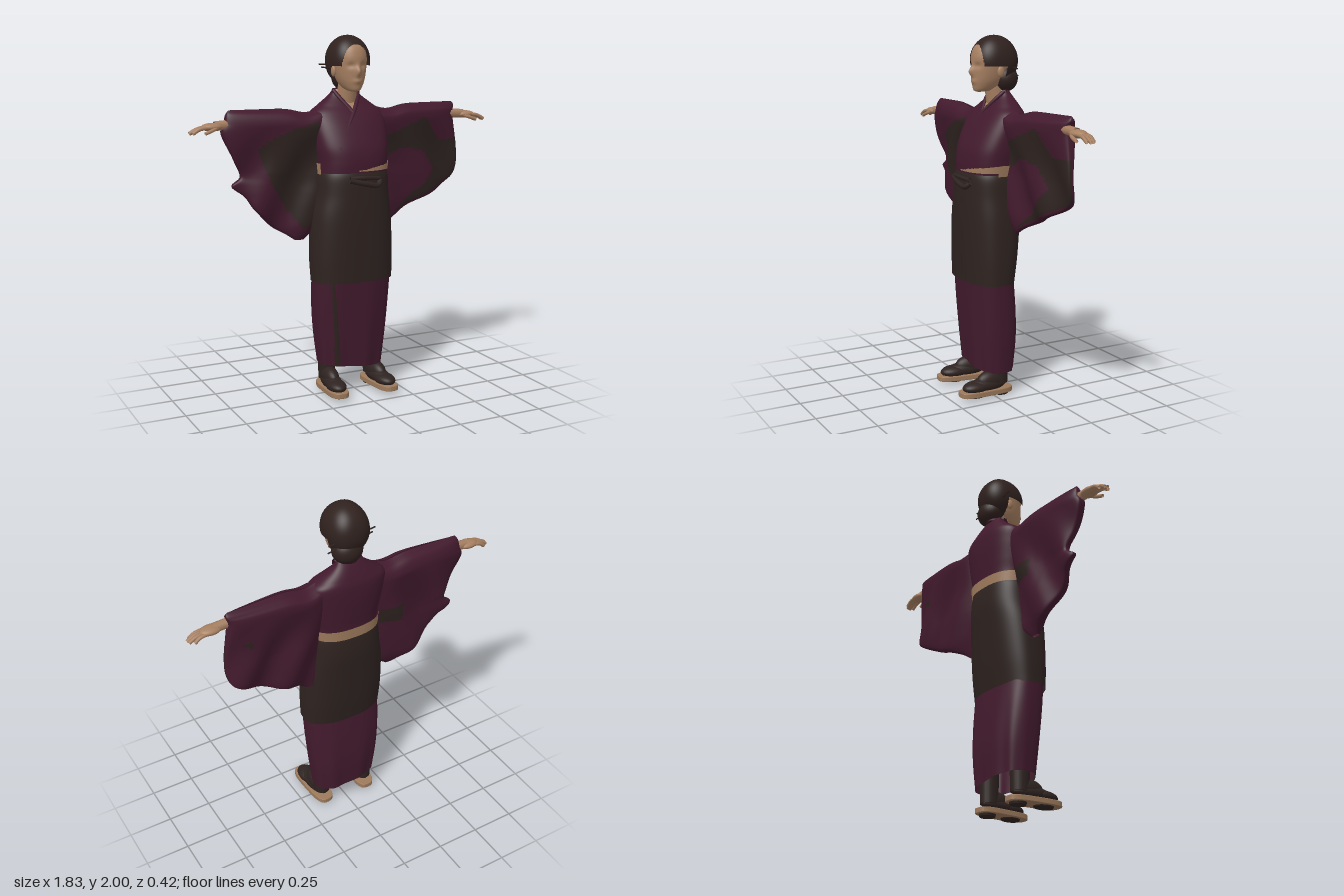
import * as THREE from 'three';

const mat = (name, color) => Object.assign(new THREE.MeshStandardMaterial({ color, side: THREE.DoubleSide }), { name });

// Closed ring surface: fn(a, v) gives a point; pick(x, y, z) gives the material index, or -1 for a hole
function ringSurface(name, fn, nu, nv, mats, pick = () => 0) {
  const pos = [], faces = mats.map(() => []);
  for (let j = 0; j <= nv; j++)
    for (let i = 0; i < nu; i++) pos.push(...fn((i / nu) * Math.PI * 2, j / nv));
  for (let j = 0; j < nv; j++)
    for (let i = 0; i < nu; i++) {
      const a = j * nu + i, b = j * nu + (i + 1) % nu, c = b + nu, d = a + nu;
      const mid = [0, 1, 2].map(k => (pos[a * 3 + k] + pos[b * 3 + k] + pos[c * 3 + k] + pos[d * 3 + k]) / 4);
      const m = pick(...mid);
      if (m >= 0) faces[m].push(a, b, c, a, c, d);
    }
  const geo = new THREE.BufferGeometry();
  geo.setAttribute('position', new THREE.Float32BufferAttribute(pos, 3));
  geo.setIndex(faces.flat());
  let start = 0;
  faces.forEach((f, m) => { geo.addGroup(start, f.length, m); start += f.length; });
  geo.computeVertexNormals();
  const mesh = new THREE.Mesh(geo, mats);
  mesh.name = name;
  return mesh;
}

// Smooth interpolation through rows of numbers
function rowCurve(rows) {
  const n = rows[0].length;
  const c = new THREE.CubicInterpolant(rows.map((_, i) => i), rows.flat(), n, new Float32Array(n));
  return v => Array.from(c.evaluate(v * (rows.length - 1)));
}
const power = (t, p) => Math.sign(t) * Math.abs(t) ** p;
const bump = (t, width) => Math.exp(-((t / width) ** 2));

// Rows are [y, xMin, xMax, zBack, zFront]
function loft(name, rows, mats, pick, { p = 0.8, nu = 64, nv = 40, warp = q => q } = {}) {
  const at = rowCurve(rows);
  return ringSurface(name, (a, v) => {
    const [y, x0, x1, z0, z1] = at(v);
    return warp([(x0 + x1) / 2 + (x1 - x0) / 2 * power(Math.sin(a), p), y,
      (z0 + z1) / 2 + (z1 - z0) / 2 * power(Math.cos(a), p)], a);
  }, nu, nv, mats, pick);
}

function inPolygon(x, y, poly) {
  let inside = false;
  poly.forEach(([ax, ay], i) => {
    const [bx, by] = poly[(i + 1) % poly.length];
    if ((ay > y) !== (by > y) && x < (bx - ax) * (y - ay) / (by - ay) + ax) inside = !inside;
  });
  return inside;
}

// Wide hanging sleeve: rows are [y, inner x, outer x, half thickness]; patches of dark lining in front and behind
function sleeve(name, s, z, slope, mats, rows, lining, backPatch) {
  const at = rowCurve(rows);
  // Middle sheet, with soft folds below the arm
  const zMid = (x, y) => z + slope * (Math.abs(x) - 0.2)
    + 0.018 * Math.sin(Math.abs(x) * 20 + y * 9) * Math.min(1, Math.max(0, (1.52 - y) * 4));
  return ringSurface(name, (a, v) => {
    const [y, xi, xo, t] = at(v);
    const x = s * (xi + xo) / 2 + (xo - xi) / 2 * power(Math.sin(a), 0.7);
    const taper = 1.25 - 1.1 * (Math.abs(x) - 0.25);
    const dip = 0.022 * bump(Math.abs(x) - 0.255, 0.08) * Math.max(0, (y - 1.4) / 0.2);
    return [x, y - dip, zMid(x, y) + t * taper * power(Math.cos(a), 0.5)];
  }, 140, 90, mats, (x, y, zz) => inPolygon(Math.abs(x), y, zz > zMid(x, y) ? lining : backPatch) ? 1 : 0);
}

export function createModel() {
  const model = new THREE.Group();
  const plum = mat('plumCloth', 0x421a2d), dark = mat('darkCloth', 0x2e2320), skin = mat('skin', 0xa67f61);
  const hair = mat('hair', 0x2f211e), straw = mat('straw', 0x9c795b);
  const add = (name, geo, material, position = [0, 0, 0], scale = [1, 1, 1], parent = model) => {
    const m = new THREE.Mesh(geo, material);
    m.name = name; m.position.set(...position); m.scale.set(...scale); parent.add(m);
    return m;
  };
  const ball = new THREE.SphereGeometry(1, 28, 20);
  const tube = (name, pts, r, material, parent = model) => add(name, new THREE.TubeGeometry(
    new THREE.CatmullRomCurve3(pts.map(q => new THREE.Vector3(...q))), 16, r, 8), material, undefined, undefined, parent);

  // Long skirt with a dark front opening and a slanted hem
  model.add(loft('skirt', [
    [0.15, -0.2, 0.18, -0.158, 0.065], [0.33, -0.222, 0.2, -0.17, 0.08],
    [0.5, -0.235, 0.212, -0.163, 0.092], [0.7, -0.238, 0.22, -0.142, 0.104],
  ], [plum, dark], (x, y, z) => z > 0 && Math.abs(x + 0.165 - (0.65 - y) * 0.08) < 0.009 + (0.65 - y) * 0.015 ? 1 : 0,
  { nu: 180, p: 0.75, warp: ([x, y, z], a) => [x, y - x * 0.1, z + 0.008 * Math.sin(a * 9) * (0.7 - y)] }));

  // Wrapped apron, open below and tucked into the sash
  model.add(loft('apron', [
    [0.65, -0.246, 0.228, -0.15, 0.118], [0.8, -0.25, 0.232, -0.17, 0.122], [1.0, -0.24, 0.225, -0.19, 0.125],
    [1.13, -0.217, 0.212, -0.202, 0.123], [1.23, -0.206, 0.206, -0.197, 0.118], [1.28, -0.19, 0.19, -0.185, 0.103],
  ], [dark]));
  add('apronOverlap', new THREE.BoxGeometry(0.003, 0.46, 0.004), dark, [0, 0.9, 0.1235]);

  // Apron knot
  tube('apronKnot', [[-0.085, 1.225, 0.125], [0, 1.205, 0.142], [0.08, 1.192, 0.138], [0.1, 1.215, 0.122]], 0.015, dark);
  tube('knotLoop', [[-0.08, 1.235, 0.122], [0, 1.235, 0.132], [0.095, 1.228, 0.122]], 0.012, dark);

  // Upper robe, with an open neck
  model.add(loft('robeBody', [
    [1.24, -0.198, 0.198, -0.19, 0.11], [1.32, -0.2, 0.205, -0.192, 0.11], [1.4, -0.212, 0.215, -0.2, 0.095],
    [1.5, -0.22, 0.22, -0.208, 0.05], [1.575, -0.215, 0.215, -0.207, 0.002], [1.62, -0.16, 0.16, -0.195, -0.035],
    [1.67, -0.095, 0.095, -0.172, -0.075], [1.705, -0.068, 0.068, -0.15, -0.092],
  ], [plum, skin], (x, y, z) => z > -0.13 && y > 1.585 && Math.abs(x) < (y - 1.585) * 0.55 ? 1 : 0, { nu: 128, nv: 80 }));
  tube('outerCollar', [[0.075, 1.7, -0.105], [0.055, 1.66, -0.065], [0, 1.58, -0.005], [-0.07, 1.48, 0.045], [-0.12, 1.39, 0.073]], 0.011, plum);
  tube('innerCollar', [[-0.075, 1.7, -0.105], [-0.055, 1.66, -0.065], [0, 1.58, -0.006]], 0.011, plum);
  tube('collarBack', [[-0.075, 1.7, -0.105], [0, 1.7, -0.16], [0.075, 1.7, -0.105]], 0.011, plum);

  // Sash, visible from the front left round the back
  model.add(loft('sash', [
    [1.25, -0.204, 0.204, -0.199, 0.118], [1.31, -0.207, 0.211, -0.199, 0.114],
  ], [straw], (x, y, z) => z > 0 && (x < -0.03 || y < 1.268 || y > 1.276 + x * 0.15) ? -1 : 0, { nu: 96, nv: 16 }));

  model.add(sleeve('leftSleeve', 1, -0.1, -0.055, [plum, dark],
    [[0.94, 0.21, 0.25, 0.008], [0.99, 0.2, 0.33, 0.02], [1.05, 0.18, 0.47, 0.03], [1.13, 0.16, 0.65, 0.036],
      [1.2, 0.16, 0.72, 0.04], [1.35, 0.16, 0.725, 0.045], [1.54, 0.14, 0.7, 0.068],
      [1.59, 0.13, 0.71, 0.045], [1.614, 0.16, 0.7, 0.002]],
    [[0.2, 1.43], [0.48, 1.54], [0.59, 1.4], [0.73, 1.4], [0.73, 1.18], [0.33, 1.01],
      [0.25, 0.96], [0.46, 1.13], [0.56, 1.23], [0.48, 1.34], [0.33, 1.37], [0.2, 1.29]],
    [[0.58, 1.38], [0.59, 1.43], [0.65, 1.4]]));
  model.add(sleeve('rightSleeve', -1, -0.083, -0.035, [plum, dark],
    [[0.885, 0.28, 0.33, 0.008], [0.92, 0.24, 0.38, 0.02], [0.97, 0.2, 0.46, 0.03], [1.07, 0.17, 0.56, 0.035],
      [1.14, 0.16, 0.605, 0.036], [1.2, 0.16, 0.675, 0.036], [1.25, 0.16, 0.625, 0.038], [1.34, 0.16, 0.665, 0.045],
      [1.48, 0.14, 0.73, 0.064], [1.54, 0.14, 0.715, 0.066], [1.585, 0.13, 0.705, 0.045], [1.61, 0.16, 0.69, 0.002]],
    [[0.2, 1.54], [0.36, 1.5], [0.46, 1.46], [0.54, 1.4], [0.47, 1.2], [0.3, 0.95], [0.2, 0.95]],
    [[0.2, 1.21], [0.2, 1.31], [0.34, 1.31], [0.33, 1.21]]));

  // Hands, palms down
  for (const s of [1, -1]) {
    const hand = new THREE.Group();
    hand.name = s > 0 ? 'leftHand' : 'rightHand';
    hand.position.set(0, s > 0 ? 1.54 : 1.53, s > 0 ? -0.112 : -0.095);
    model.add(hand);
    tube('wrist', [[s * 0.64, 0.008, 0], [s * 0.77, 0, 0]], 0.026, skin, hand);
    add('palm', ball, skin, [s * 0.785, -0.004, 0], [0.06, 0.022, 0.04], hand);
    [0.076, 0.09, 0.086, 0.062].forEach((len, i) => {
      const z = 0.025 - i * 0.0165;
      tube('finger', [[s * 0.8, -0.004, z], [s * (0.82 + len / 2), -0.012, z], [s * (0.82 + len), -0.034, z]], 0.01, skin, hand);
    });
    tube('thumb', [[s * 0.755, -0.005, 0.022], [s * 0.79, -0.018, 0.04], [s * 0.835, -0.034, 0.044]], 0.01, skin, hand);
  }

  // Neck, and a face with shallow eye sockets, nose and mouth
  const neck = add('neck', new THREE.CylinderGeometry(0.05, 0.058, 0.2, 24), skin, [0, 1.68, -0.09]);
  neck.rotation.x = 0.2;
  const relief = (x, y) => 0.024 * bump(x, 0.014) * bump(y - 1.805, 0.026)
    + 0.007 * bump(x, 0.025) * bump(y - 1.752, 0.013) - 0.009 * bump(Math.abs(x) - 0.036, 0.02) * bump(y - 1.838, 0.016);
  model.add(loft('face', [
    [1.695, -0.01, 0.01, 0, 0.02], [1.703, -0.035, 0.035, -0.06, 0.04], [1.73, -0.058, 0.058, -0.12, 0.047],
    [1.77, -0.076, 0.076, -0.15, 0.05], [1.83, -0.088, 0.088, -0.17, 0.052], [1.89, -0.09, 0.09, -0.17, 0.05],
    [1.94, -0.072, 0.072, -0.15, 0.03], [1.97, -0.03, 0.03, -0.1, -0.02],
  ], [skin], undefined, { p: 0.95, nu: 120, nv: 70, warp: ([x, y, z]) => [x, y, z > 0 ? z + relief(x, y) : z] }));
  for (const s of [1, -1]) add('ear', ball, skin, [s * 0.088, 1.805, -0.075], [0.012, 0.03, 0.02]);

  // Hair swept back from an oval hairline, gathered in a low bun with pins
  model.add(ringSurface('hair', (a, v) => {
    const b = (v - 0.5) * Math.PI, r = Math.cos(b);
    return [0.117 * r * power(Math.sin(a), 0.85), 1.86 + 0.14 * Math.sin(b), -0.08 + 0.13 * r * power(Math.cos(a), 0.85)];
  }, 140, 100, [hair], (x, y, z) =>
    (z > -0.06 && (x / 0.082) ** 2 + ((y - 1.83) / 0.12) ** 2 < 1) || (z > -0.1 && y < 1.835) ? -1 : 0));
  add('bun', ball, hair, [0.018, 1.766, -0.134], [0.085, 0.076, 0.074]);
  tube('upperHairpin', [[-0.15, 1.842, -0.13], [0.135, 1.822, -0.15]], 0.004, hair);
  tube('lowerHairpin', [[-0.13, 1.825, -0.14], [0.14, 1.785, -0.15]], 0.004, hair);

  // Feet in dark socks on straw sandals with rounded square ends
  const outline = Array.from({ length: 40 }, (_, i) => {
    const a = i / 40 * Math.PI * 2;
    return new THREE.Vector2(0.053 * power(Math.cos(a), 0.6), 0.161 * power(Math.sin(a), 0.6));
  });
  const soleGeo = new THREE.ExtrudeGeometry(new THREE.Shape(outline),
    { depth: 0.022, bevelSize: 0.004, bevelThickness: 0.004, bevelSegments: 2 });
  soleGeo.rotateX(-Math.PI / 2);
  for (const s of [1, -1]) {
    const foot = new THREE.Group();
    foot.name = s > 0 ? 'leftFoot' : 'rightFoot';
    foot.position.set(s > 0 ? 0.137 : -0.152, 0, s > 0 ? 0.045 : 0.03);
    foot.rotation.y = s * 0.06;
    model.add(foot);
    const sole = add('sandalSole', soleGeo, straw, [0, 0.021, 0], [1, 1, 1], foot);
    sole.rotation.x = -0.03;
    add('heelPad', new THREE.CylinderGeometry(0.044, 0.04, 0.016, 24), dark, [0, 0.009, -0.1], [1, 1, 1.1], foot);
    add('toePad', new THREE.CylinderGeometry(0.044, 0.04, 0.012, 24), dark, [0, 0.017, 0.06], [1, 1, 1.4], foot);
    add('sockToes', ball, dark, [0, 0.066, 0.06], [0.054, 0.034, 0.085], foot);
    add('sock', ball, dark, [0, 0.07, -0.01], [0.05, 0.042, 0.125], foot);
    add('instep', ball, dark, [0, 0.09, -0.04], [0.046, 0.058, 0.095], foot);
    add('ankle', new THREE.CylinderGeometry(0.052, 0.046, 0.26, 24), dark, [0, 0.2, -0.088], [1, 1, 1.1], foot);
  }
  return model;
}
